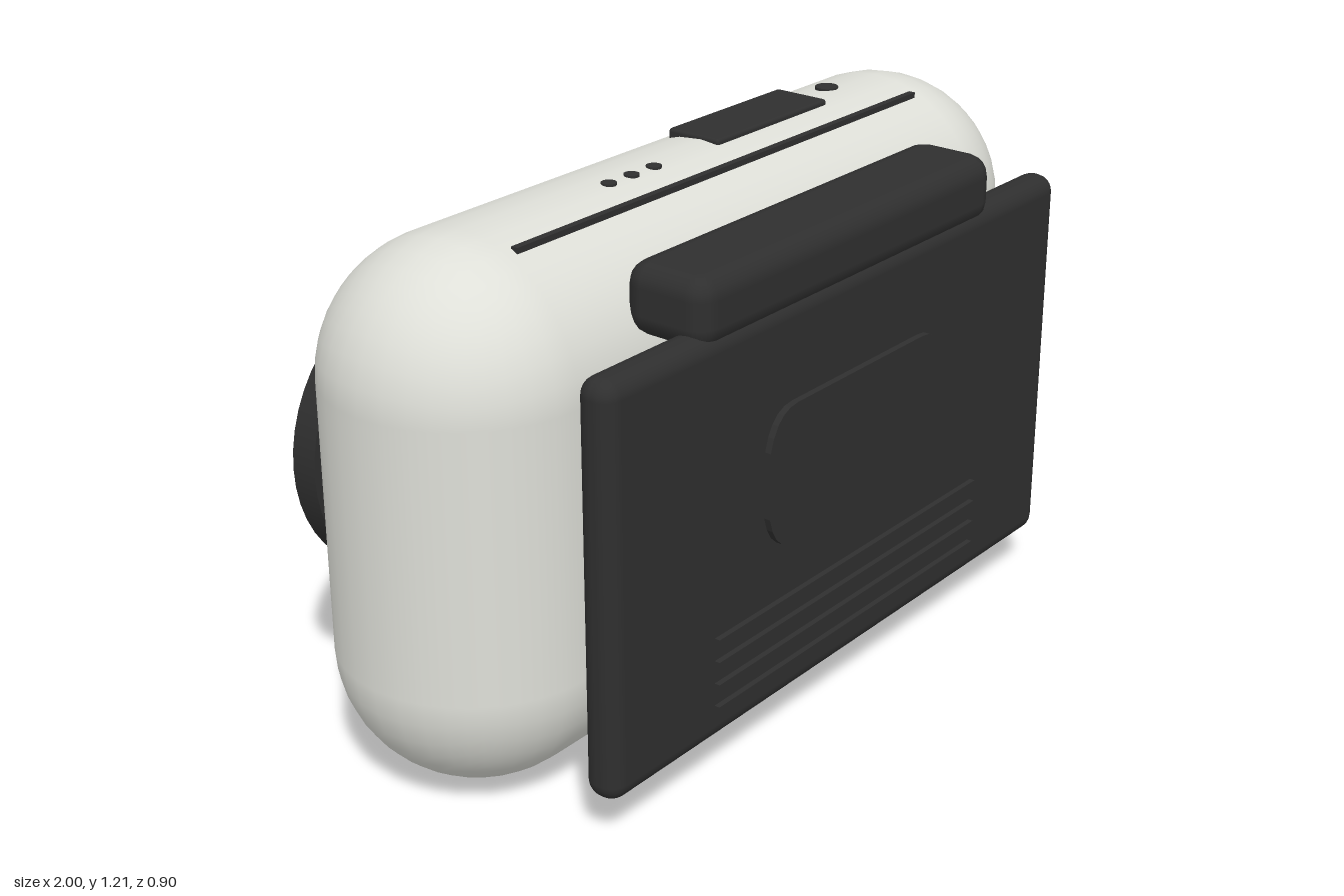
import * as THREE from 'three';
import { toCreasedNormals } from 'three/addons/utils/BufferGeometryUtils.js';
import { RoundedBoxGeometry } from 'three/addons/geometries/RoundedBoxGeometry.js';

const mat = (name, color) => {
  const m = new THREE.MeshStandardMaterial({ color });
  m.name = name;
  return m;
};

export function createModel() {
  const shell = mat('pale shell', 0xdedfd8);
  const dark = mat('dark plastic', 0x2f2f2f);
  const black = mat('black rubber', 0x1c1c1c);
  const glass = mat('lens glass', 0x272727);
  const metal = mat('bright metal', 0xe2e3e1);

  const group = new THREE.Group();
  const add = (name, geometry, material, x, y, z) => {
    const mesh = new THREE.Mesh(geometry, material);
    mesh.name = name;
    mesh.position.set(x, y, z);
    group.add(mesh);
    return mesh;
  };
  const box = (w, h, d) => new THREE.BoxGeometry(w, h, d);
  // Disc whose axis runs toward the back (-z), starting at local z = 0
  const disc = (r, depth) =>
    new THREE.CylinderGeometry(r, r, depth, 48).translate(0, depth / 2, 0).rotateX(-Math.PI / 2);
  // Turned profile of [radius, distance toward the back]
  const turned = (points) => toCreasedNormals(
    new THREE.LatheGeometry(points.map(([r, h]) => new THREE.Vector2(r, h)), 48), 0.6,
  ).rotateX(-Math.PI / 2);

  // Pill-edged body
  add('body', new RoundedBoxGeometry(2, 1.195, 0.6, 5, 0.299), shell, 0, 0.607, -0.02);

  // Seam slits along the top and bottom
  for (const [name, y] of [['topSlit', 1.18], ['bottomSlit', 0.034]]) {
    add(name, box(1.36, 0.016, 0.016), dark, 0, y, 0.1);
  }

  // Top controls
  add('topButton', new RoundedBoxGeometry(0.4, 0.045, 0.14, 2, 0.008), dark, 0.24, 1.19, -0.042);
  add('indicator', new THREE.CylinderGeometry(0.027, 0.027, 0.03, 24), dark, 0.537, 1.193, -0.043);
  for (const x of [-0.307, -0.235, -0.163]) {
    add('microphoneHole', new THREE.CylinderGeometry(0.017, 0.017, 0.03, 16), dark, x, 1.19, 0.017);
  }

  // Bottom contacts
  for (const x of [-0.12, 0.12]) {
    add('bottomContact', new THREE.CylinderGeometry(0.031, 0.031, 0.03, 24), dark, x, 0.017, -0.017);
  }

  // Lens: collar, trim ring, recessed face and dome
  const lx = -0.54, ly = 0.645;
  add('lensCollar', disc(0.328, 0.065), dark, lx, ly, -0.307);
  add('lensTrim', turned([
    [0.283, 0], [0.318, 0], [0.318, 0.008], [0.306, 0.018], [0.294, 0.018], [0.283, 0.008], [0.283, 0],
  ]), metal, lx, ly, -0.37);
  add('lensRecess', disc(0.285, 0.005), black, lx, ly, -0.37);
  add('lensFace', disc(0.255, 0.005), glass, lx, ly, -0.373);
  add('lensDome', turned([
    [0.2, 0], [0.197, 0.012], [0.147, 0.051], [0.075, 0.064], [0, 0.069],
  ]), glass, lx, ly, -0.378);

  // Round button beside the lens
  add('buttonRing', disc(0.193, 0.025), dark, 0.495, ly, -0.312);
  add('buttonCap', turned([
    [0.162, 0], [0.162, 0.022], [0.157, 0.027], [0, 0.027],
  ]), metal, 0.495, ly, -0.331);

  // Clip plate hung from a bar
  add('clipPlate', new RoundedBoxGeometry(1.6, 0.916, 0.088, 3, 0.04), dark, 0, 0.568, 0.391);
  add('clipBar', new RoundedBoxGeometry(1.04, 0.157, 0.21, 2, 0.05), dark, 0, 1.067, 0.33);

  // Raised thumb pad
  const pad = new THREE.Shape();
  const w = 0.318, h = 0.16;
  pad.moveTo(-w + 0.09, -h);
  pad.lineTo(w - 0.09, -h);
  pad.quadraticCurveTo(w - 0.02, -h, w, -0.075);
  pad.lineTo(w, 0.075);
  pad.quadraticCurveTo(w - 0.02, h, w - 0.09, h);
  pad.lineTo(-w + 0.09, h);
  pad.quadraticCurveTo(-w + 0.02, h, -w, 0.075);
  pad.lineTo(-w, -0.075);
  pad.quadraticCurveTo(-w + 0.02, -h, -w + 0.09, -h);
  add('thumbPad', new THREE.ExtrudeGeometry(pad, { depth: 0.02, bevelEnabled: false, curveSegments: 5 }),
    dark, 0, 0.645, 0.43);

  // Grip ridges
  for (let i = 0; i < 4; i++) {
    add('gripRidge', box(0.96, 0.018, 0.018), dark, 0, 0.192 + i * 0.053, 0.439);
  }

  return group;
}
